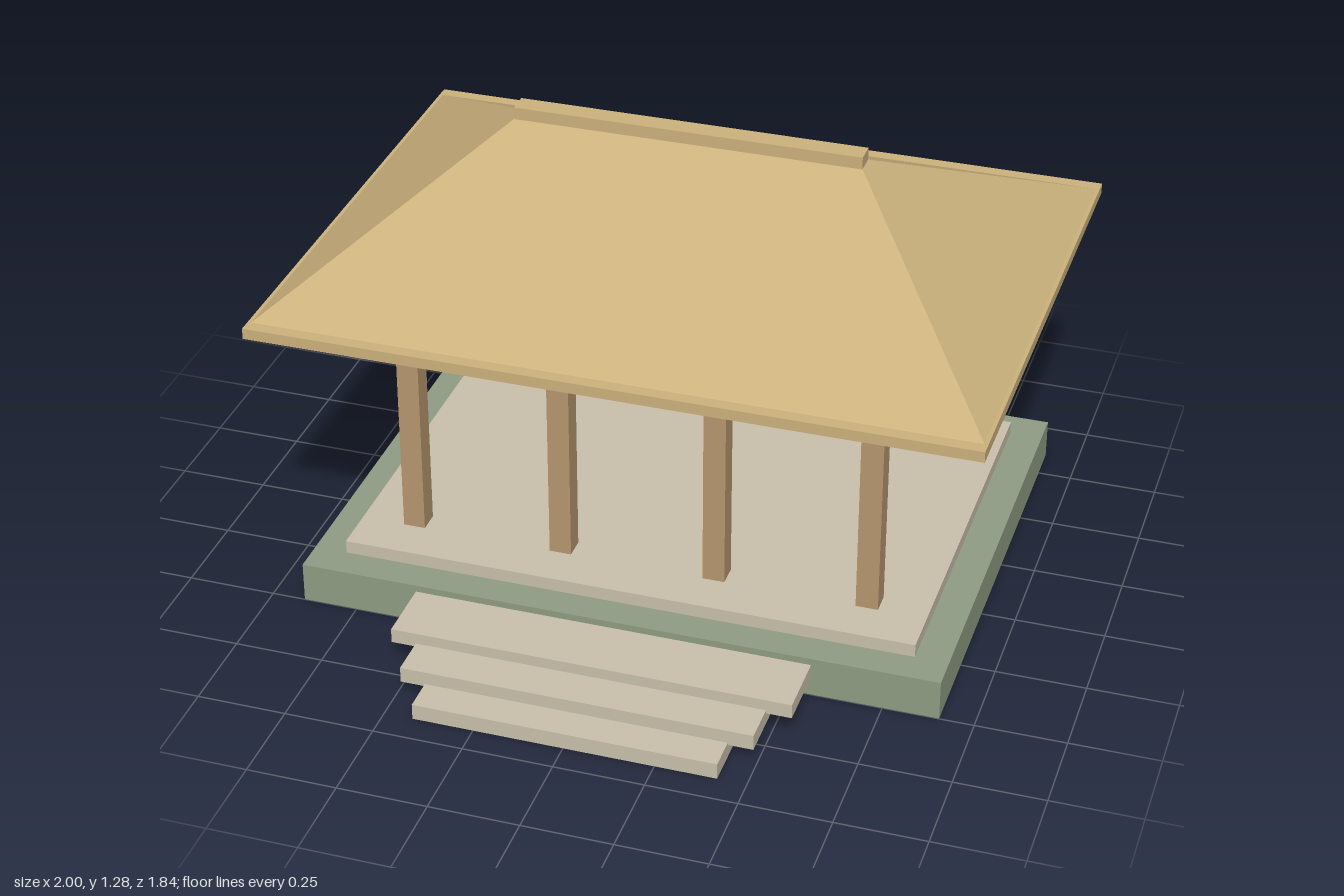
import * as THREE from 'three';

export function createModel() {
  const model = new THREE.Group();
  model.name = 'pavilion';

  const material = (name, color) => {
    const m = new THREE.MeshStandardMaterial({ color });
    m.name = name;
    return m;
  };
  const green = material('mossGreenStone', 0x8f9c83);
  const stone = material('paleStone', 0xc9c0ac);
  const wood = material('brownWood', 0xb5966e);
  const thatch = material('strawRoof', 0xcbb17c);

  // The pavilion sits behind the centre to leave room for the stairs
  const hall = new THREE.Group();
  hall.name = 'hall';
  hall.position.z = -0.176;
  model.add(hall);

  // Box with its bottom at y0 and its top at y1
  function block(parent, name, mat, width, depth, y0, y1, x = 0, z = 0) {
    const mesh = new THREE.Mesh(new THREE.BoxGeometry(width, y1 - y0, depth), mat);
    mesh.name = name;
    mesh.position.set(x, (y0 + y1) / 2, z);
    parent.add(mesh);
    return mesh;
  }

  // Base and floor
  block(hall, 'base', green, 1.81, 1.35, 0, 0.116);
  block(hall, 'floor', stone, 1.624, 1.165, 0.116, 0.154);

  // Two rows of four posts
  for (const z of [-0.443, 0.443])
    for (const x of [-0.65, -0.22, 0.22, 0.65])
      block(hall, 'post', wood, 0.062, 0.062, 0.167, 0.775, x, z);

  // Beam slab and eaves
  block(hall, 'beam', wood, 1.536, 1.025, 0.773, 0.863);
  block(hall, 'eaves', thatch, 2, 1.487, 0.863, 0.894);

  // Hipped roof: a box whose top narrows to the ridge
  const roof = block(hall, 'hippedRoof', thatch, 1.98, 1.414, 0.894, 1.246);
  const p = roof.geometry.attributes.position;
  for (let i = 0; i < p.count; i++) {
    if (p.getY(i) > 0) {
      p.setX(i, Math.sign(p.getX(i)) * 0.487);
      p.setZ(i, Math.sign(p.getZ(i)) * 0.028);
    }
  }
  roof.geometry.computeVertexNormals();
  block(hall, 'ridge', thatch, 0.976, 0.06, 1.245, 1.28);

  // Overlapping front steps, widening upwards
  const steps = [
    [0.84, 0, 0.046, 0.827],
    [0.978, 0.039, 0.084, 0.732],
    [1.118, 0.074, 0.116, 0.617],
  ];
  for (const [width, y0, y1, z] of steps)
    block(model, 'step', stone, width, 0.184, y0, y1, 0, z);

  return model;
}
